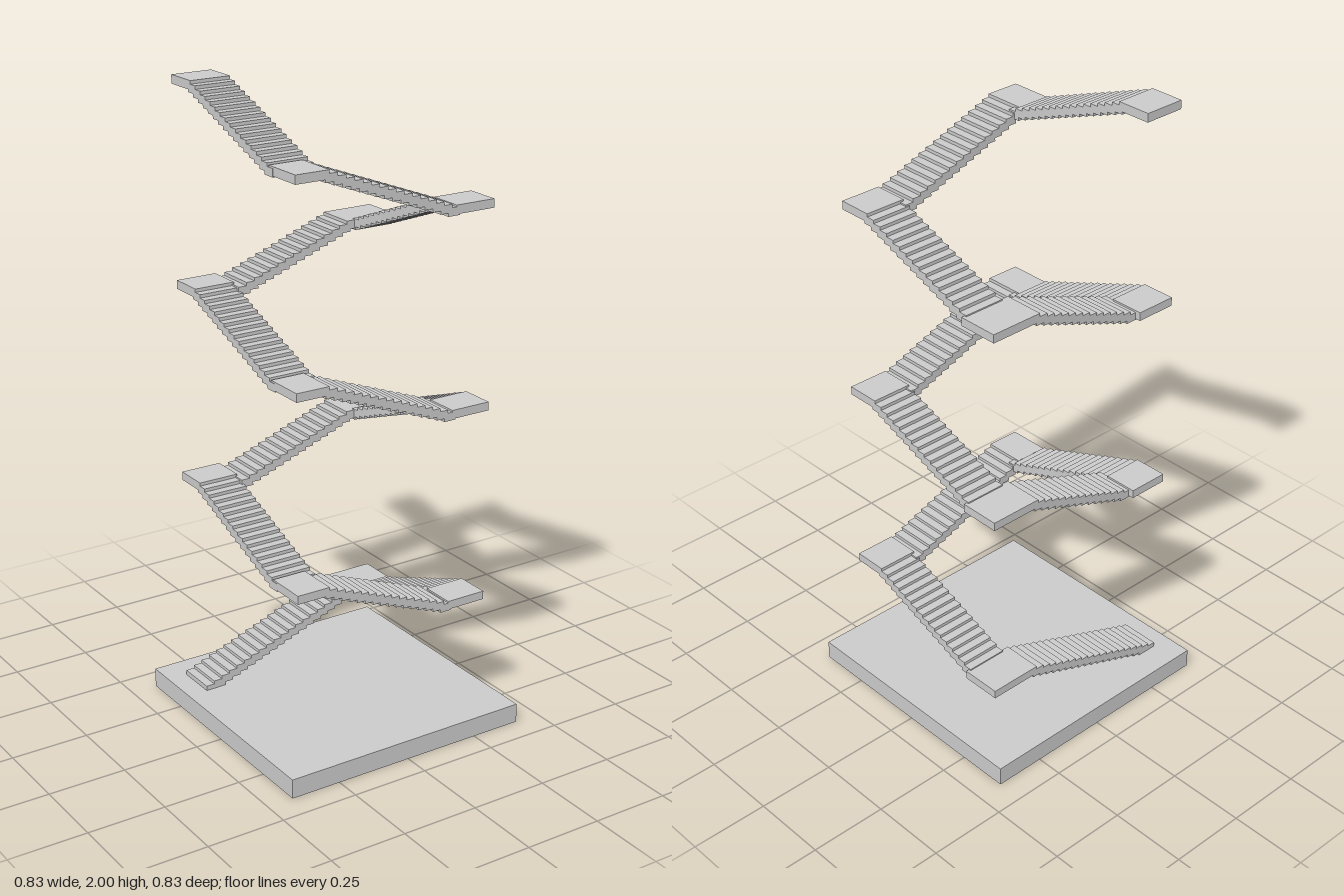
import * as THREE from 'three';

const RISE = 0.0104;      // height gained per tread
const TREAD = 0.025;      // tread thickness
const OVERLAP = 0.013;    // each tread runs under the next one
const TURN = 0.6215;      // height gained per full turn

const material = new THREE.MeshStandardMaterial({ color: 0xcccccc, flatShading: true });

// Box given by its min and max corners (in any order per axis)
function slab(name, x0, x1, y0, y1, z0, z1) {
  const mesh = new THREE.Mesh(
    new THREE.BoxGeometry(Math.abs(x1 - x0), Math.abs(y1 - y0), Math.abs(z1 - z0)), material);
  mesh.position.set((x0 + x1) / 2, (y0 + y1) / 2, (z0 + z1) / 2);
  mesh.name = name;
  return mesh;
}

// Straight flight: treads run from 'start' to 'edge', the landing from 'edge' to 'end'
function flight({ name, axis, side, start, edge, end, top, steps }) {
  const group = new THREE.Group();
  group.name = name;
  const place = (part, a, b, y, thick) => group.add(axis === 'x'
    ? slab(part, a, b, y - thick, y, side[0], side[1])
    : slab(part, side[0], side[1], y - thick, y, a, b));
  const dir = Math.sign(edge - start);
  const pitch = (edge - start) / steps;
  for (let i = 0; i < steps; i++) {
    const a = start + pitch * i;
    place('tread', a, a + pitch + dir * OVERLAP, top - RISE * (steps - i), TREAD);
  }
  place('landing', edge, end, top, 0.027);
  return group;
}

export function createModel() {
  const model = new THREE.Group();
  model.name = 'squareSpiralStaircase';

  // Square base plate
  model.add(slab('base', -0.415, 0.415, 0, 0.062, -0.415, 0.415));

  // Three turns of four flights each, climbing around an open well
  for (let turn = 0; turn < 3; turn++) {
    const y = turn * TURN;
    const first = turn === 0;
    model.add(
      // the lowest flight is longer, reaching down to the base
      flight({ name: 'backFlight', axis: 'x', side: [-0.325, -0.195], start: first ? -0.35 : -0.208,
        edge: 0.18, end: 0.353, top: 0.275 + y, steps: first ? 19 : 14 }),
      flight({ name: 'leftFlight', axis: 'z', side: [0.208, 0.342], start: -0.23,
        edge: 0.212, end: 0.323, top: 0.435 + y, steps: 16 }),
      flight({ name: 'frontFlight', axis: 'x', side: [0.188, 0.323], start: 0.22,
        edge: -0.224, end: -0.334, top: 0.596 + y, steps: 16 }),
      flight({ name: 'rightFlight', axis: 'z', side: [-0.335, -0.202], start: 0.21,
        edge: -0.233, end: -0.343, top: 0.757 + y, steps: 16 }),
    );
  }
  return model;
}
